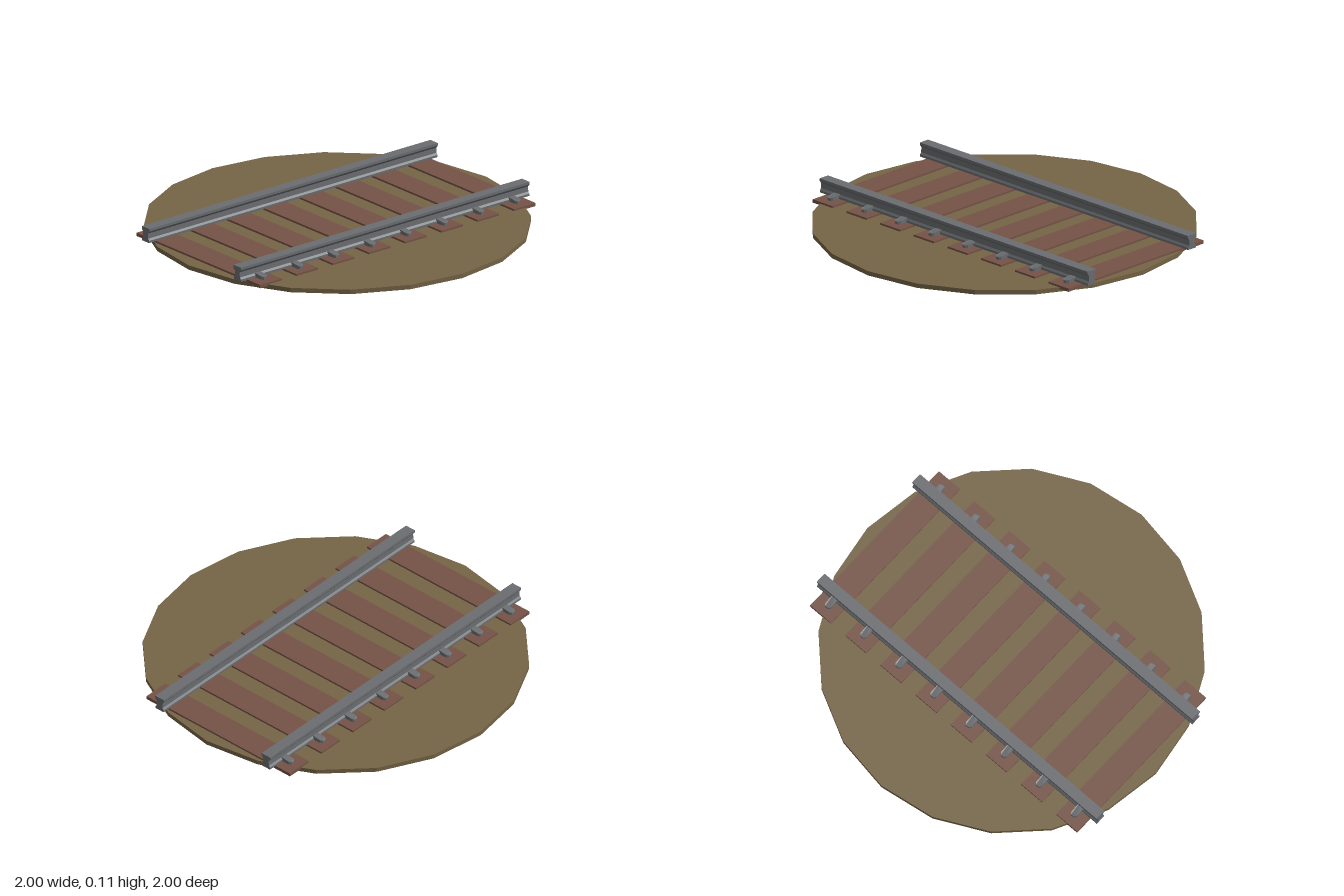
import * as THREE from 'three';

const mat = (color) => new THREE.MeshStandardMaterial({ color, flatShading: true });

export function createModel() {
  const model = new THREE.Group();
  const earth = mat(0x756446), wood = mat(0x755346), steel = mat(0x6a6d70);

  const add = (parent, name, geometry, material, x, y, z) => {
    const mesh = new THREE.Mesh(geometry, material);
    mesh.name = name;
    mesh.position.set(x, y, z);
    parent.add(mesh);
    return mesh;
  };

  // Twenty-sided ground disc
  add(model, 'groundDisc', new THREE.CylinderGeometry(1, 1, 0.024, 20), earth, 0, 0.012, 0);

  const track = new THREE.Group();
  track.name = 'track';
  track.position.x = -0.02;
  model.add(track);

  // Rail cross-section: wide head, narrow web, flared foot
  const half = [[0.028, 0], [0.028, 0.012], [0.02, 0.022], [0.019, 0.05], [0.03, 0.064], [0.03, 0.078]];
  const outline = [...half, ...half.map(([x, y]) => [-x, y]).reverse()];
  const railShape = new THREE.Shape(outline.map(([x, y]) => new THREE.Vector2(x, y)));
  const railGeo = new THREE.ExtrudeGeometry(railShape, { depth: 1.94, bevelEnabled: false });

  // Clip: rounded outer end, with its top sloping down away from the rail
  const clipShape = new THREE.Shape();
  clipShape.moveTo(-0.01, -0.019);
  clipShape.lineTo(0.071, -0.019);
  clipShape.lineTo(0.082, -0.01);
  clipShape.lineTo(0.082, 0.01);
  clipShape.lineTo(0.071, 0.019);
  clipShape.lineTo(-0.01, 0.019);
  const clipGeo = new THREE.ExtrudeGeometry(clipShape, { depth: 0.026, bevelEnabled: false });
  clipGeo.rotateX(-Math.PI / 2);
  const p = clipGeo.attributes.position;
  for (let i = 0; i < p.count; i++) {
    if (p.getY(i) > 0.01) p.setY(i, 0.026 - 0.012 * Math.max(0, (p.getX(i) - 0.05) / 0.032));
  }
  clipGeo.computeVertexNormals();

  for (const side of [-1, 1]) {
    add(track, side > 0 ? 'leftRail' : 'rightRail', railGeo, steel, side * 0.367, 0.033, -0.975);
  }

  // Sleepers, each with a clip outside either rail
  const sleeperGeo = new THREE.BoxGeometry(0.99, 0.018, 0.145);
  for (let i = 0; i < 8; i++) {
    const z = -0.86 + i * 0.2437;
    add(track, 'sleeper', sleeperGeo, wood, 0, 0.025, z);
    for (const side of [-1, 1]) {
      const clip = add(track, 'railClip', clipGeo, steel, side * 0.367, 0.034, z);
      clip.rotation.y = side > 0 ? 0 : Math.PI;
    }
  }
  return model;
}
